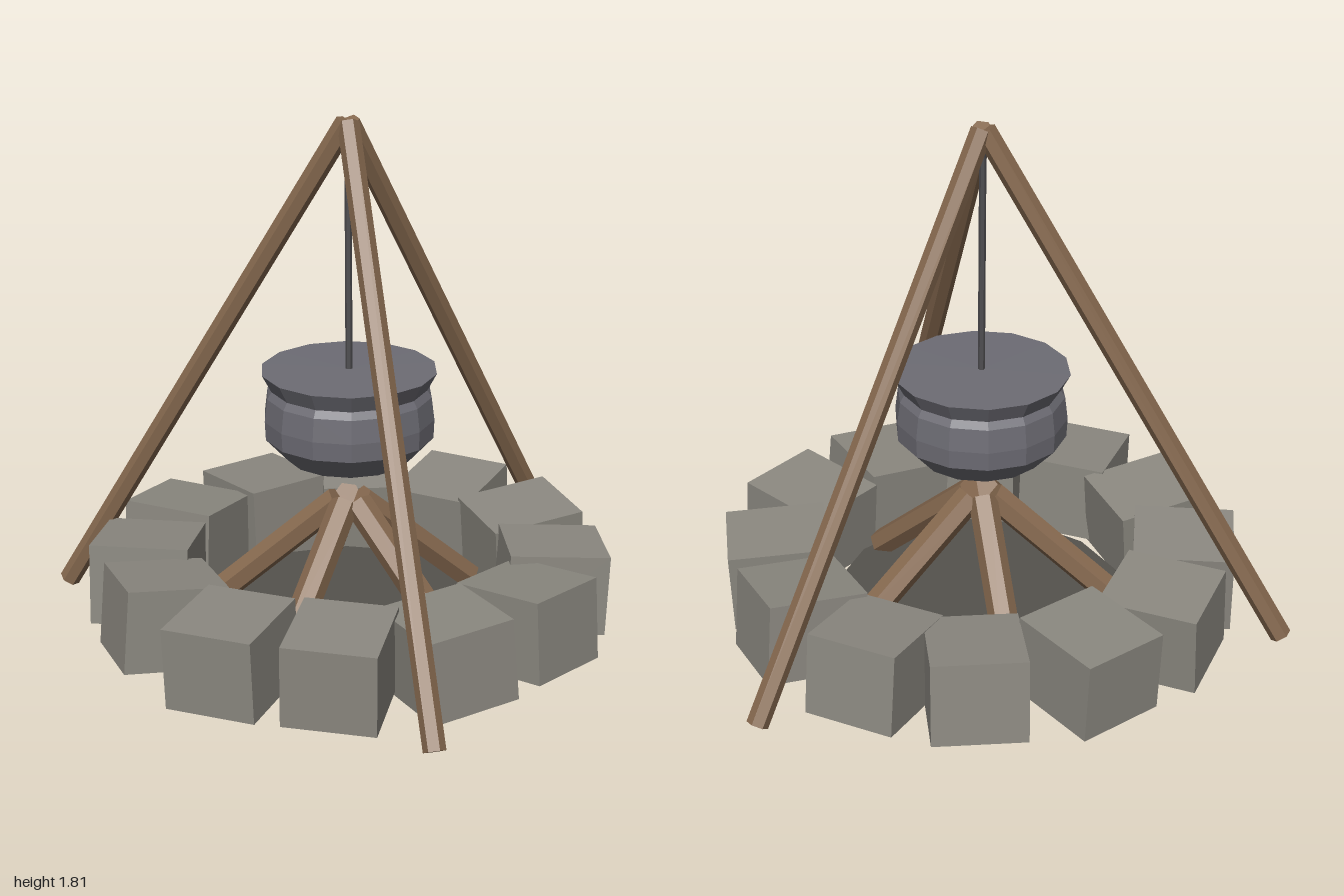
import * as THREE from 'three';

const mat = (name, color) => {
  const m = new THREE.MeshStandardMaterial({ color });
  m.name = name;
  return m;
};

export function createModel() {
  const model = new THREE.Group();
  model.name = 'campfire';
  const stone = mat('stone grey', 0x8b8880);
  const wood = mat('wood brown', 0x86694f);
  const iron = mat('pot iron', 0x6d6c74);
  const darkIron = mat('rod iron', 0x4e4d50);
  const ash = mat('ash', 0x55524d);

  // Everything but the stones is arranged round the fire's axis
  const fire = new THREE.Group();
  fire.name = 'fire';
  fire.position.set(-0.08, 0, -0.09);
  model.add(fire);

  // Faceted mesh
  const add = (parent, name, geometry, material) => {
    const g = geometry.index ? geometry.toNonIndexed() : geometry;
    g.computeVertexNormals();
    const mesh = new THREE.Mesh(g, material);
    mesh.name = name;
    parent.add(mesh);
    return mesh;
  };

  // Six-sided pole between two points
  const pole = (name, a, b, radius, material) => {
    const dir = b.clone().sub(a);
    const mesh = add(fire, name, new THREE.CylinderGeometry(radius, radius, dir.length(), 6), material);
    mesh.position.copy(a).add(b).multiplyScalar(0.5);
    mesh.quaternion.setFromUnitVectors(new THREE.Vector3(0, 1, 0), dir.normalize());
  };
  const polar = (deg, r, y) => {
    const t = THREE.MathUtils.degToRad(deg);
    return new THREE.Vector3(Math.cos(t) * r, y, Math.sin(t) * r);
  };

  // Ash bed
  add(fire, 'ashBed', new THREE.CylinderGeometry(0.51, 0.53, 0.04, 14), ash).position.y = 0.05;

  // Leaning logs
  for (let i = 0; i < 5; i++) {
    pole('log', polar(i * 72, 0.48, 0.08), polar(i * 72, 0.04, 0.465), 0.05, wood);
  }

  // Tripod legs
  for (let i = 0; i < 3; i++) {
    const deg = -17 + i * 120;
    pole('tripodLeg', polar(deg, 1.06, 0.045), polar(deg, 0.005, 1.795), 0.037, wood);
  }

  // Hanging rod
  pole('hangingRod', new THREE.Vector3(0, 0.94, 0), new THREE.Vector3(0, 1.78, 0), 0.012, darkIron);

  // Pot with flared rim and flat lid
  const profile = [
    [0, 0.608], [0.215, 0.632], [0.292, 0.715], [0.295, 0.78],
    [0.285, 0.86], [0.27, 0.885], [0.302, 0.945], [0, 0.947],
  ].map(([r, y]) => new THREE.Vector2(r, y));
  add(fire, 'pot', new THREE.LatheGeometry(profile, 14), iron);

  // Stone ring: x, z, outward direction x and z, pitch and roll in degrees
  const stones = [
    [-0.08, -0.79, -10, -65, 3, 0], [0.29, -0.69, 27, -58, -6, 0],
    [0.53, -0.45, 52, -35, -6, 0], [0.62, -0.09, 66, 6, -5, 4],
    [0.53, 0.26, 60, 26, 3, -2], [0.28, 0.51, 22, 61, -5, -2],
    [-0.08, 0.60, 0, 1, -2, 4], [-0.43, 0.52, -42, 51, 3, -1],
    [-0.70, 0.27, -47, 39, 2, 1], [-0.78, -0.10, -64, -8, -6, 4],
    [-0.69, -0.45, -54, -38, 0, 5], [-0.43, -0.70, -37, -50, 0, 5],
  ];
  const rad = THREE.MathUtils.degToRad;
  for (const [x, z, dx, dz, pitch, roll] of stones) {
    const mesh = add(model, 'ringStone', new THREE.BoxGeometry(0.315, 0.285, 0.345), stone);
    mesh.position.set(x, 0.177, z);
    mesh.rotation.set(rad(pitch), Math.atan2(dx, dz), rad(roll), 'YXZ');
  }
  return model;
}
